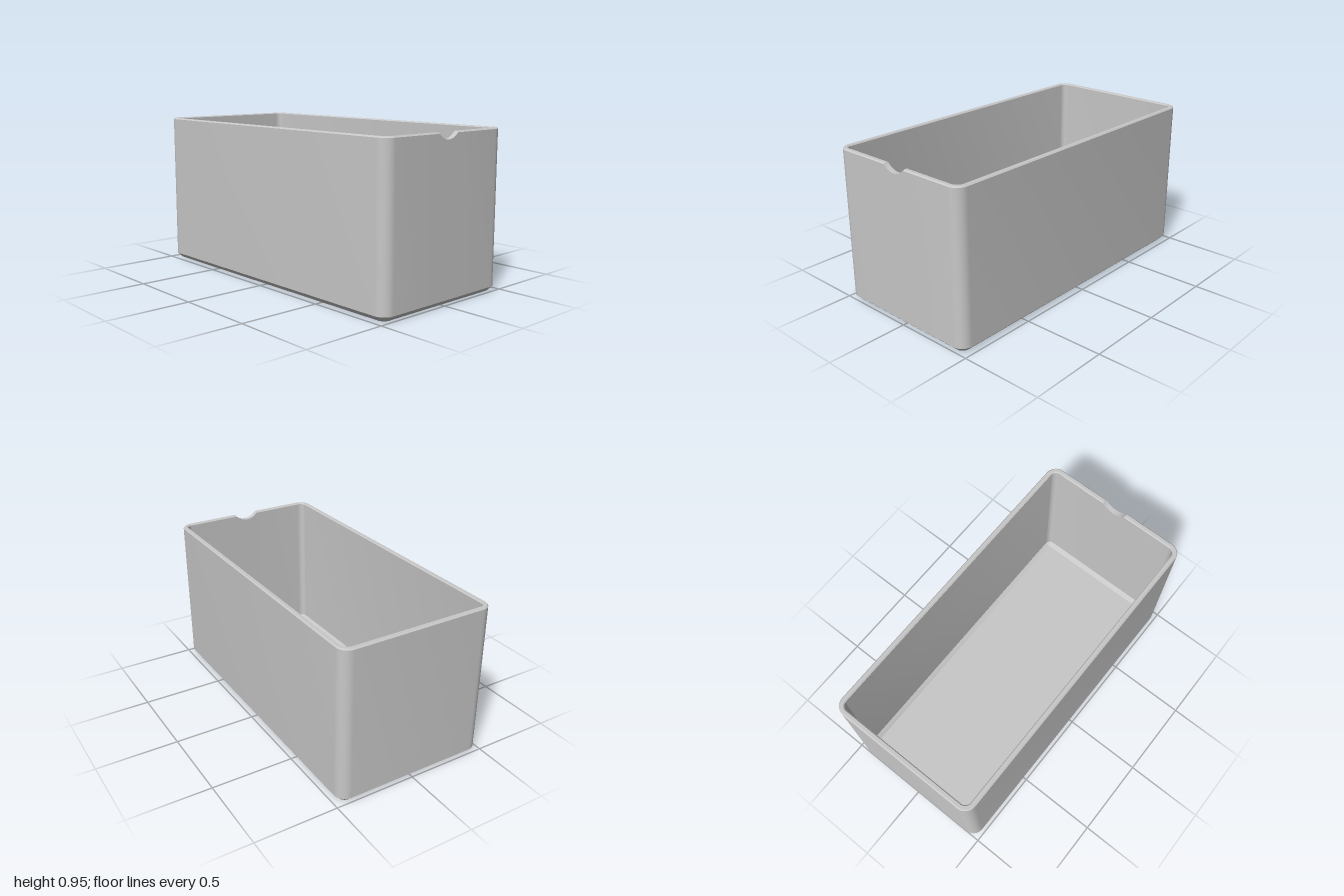
import * as THREE from 'three';
import { toCreasedNormals } from 'three/addons/utils/BufferGeometryUtils.js';

const HALF_X = 0.48, HALF_Z = 1, HEIGHT = 0.953, CORNER = 0.07;
const NOTCH = { r: 0.098, y: 1.01, half: 0.08 };

// Rounded rectangle outline moved inward by `inset`, with extra points along the front for the notch
function outline(inset) {
  const r = Math.max(CORNER - inset, 0.012);
  const cx = HALF_X - inset - r, cz = HALF_Z - inset - r;
  const points = [];
  const corner = (sx, sz, start) => {
    for (let k = 0; k <= 10; k++) {
      const a = start + (k / 10) * Math.PI / 2;
      points.push([sx * cx + r * Math.cos(a), sz * cz + r * Math.sin(a)]);
    }
  };
  corner(1, 1, 0);
  for (let k = 0; k <= 24; k++) {
    points.push([NOTCH.half * Math.cos(k / 24 * Math.PI), HALF_Z - inset]);
  }
  corner(-1, 1, Math.PI / 2);
  corner(-1, -1, Math.PI);
  corner(1, -1, Math.PI * 1.5);
  return points;
}

// Lowers points of the front wall to the round finger notch
function notched(x, y, z) {
  if (z < 0.9 || Math.abs(x) > NOTCH.half + 1e-6) return y;
  return Math.min(y, NOTCH.y - Math.sqrt(NOTCH.r ** 2 - x * x));
}

function trayGeometry() {
  // Wall section: [inset, height], from the underside over the rim to the floor
  const section = [
    [0.03, 0], [0, 0.03], [0, HEIGHT - 0.007], [0.007, HEIGHT],
    [0.026, HEIGHT], [0.032, HEIGHT - 0.006], [0.032, 0.058], [0.058, 0.032],
  ];
  const rings = section.map(([inset, y]) =>
    outline(inset).map(([x, z]) => [x, notched(x, y, z), z]));
  const count = rings[0].length;
  const position = [];
  const tri = (...corners) => corners.forEach((p) => position.push(...p));

  for (let j = 0; j < count; j++) {
    const n = (j + 1) % count;
    for (let i = 0; i < rings.length - 1; i++) {
      const low = rings[i], high = rings[i + 1];
      tri(low[j], high[j], high[n]);
      tri(low[j], high[n], low[n]);
    }
    // Underside and inner floor
    const last = rings[rings.length - 1];
    tri([0, 0, 0], rings[0][j], rings[0][n]);
    tri([0, 0.032, 0], last[n], last[j]);
  }
  const geometry = new THREE.BufferGeometry();
  geometry.setAttribute('position', new THREE.Float32BufferAttribute(position, 3));
  return toCreasedNormals(geometry, 0.5);
}

export function createModel() {
  const group = new THREE.Group();
  group.name = 'openBox';
  const grey = new THREE.MeshStandardMaterial({ color: 0xc8c8c8 });
  grey.name = 'light grey';
  const tray = new THREE.Mesh(trayGeometry(), grey);
  tray.name = 'tray';
  group.add(tray);
  return group;
}
